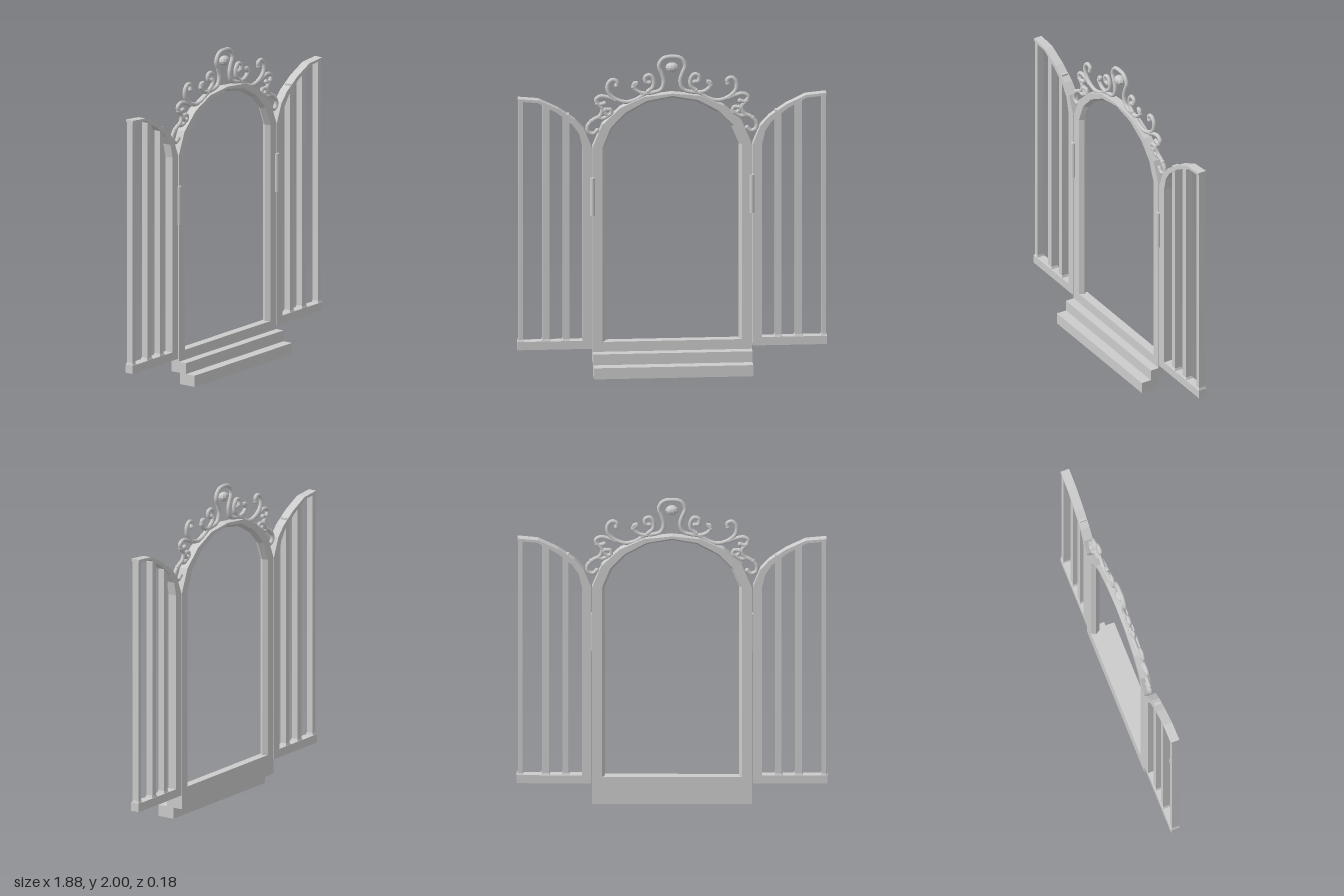
import * as THREE from 'three';

const FRONT = -0.03, BACK = -0.085, MID = (FRONT + BACK) / 2;
const flat = new THREE.MeshStandardMaterial({ color: 0xcccccc, flatShading: true });
const smooth = new THREE.MeshStandardMaterial({ color: 0xcccccc });

function add(parent, name, geometry, material = flat) {
  const mesh = new THREE.Mesh(geometry, material);
  mesh.name = name;
  parent.add(mesh);
  return mesh;
}

// Box given by its limits on each axis
function box(parent, name, x0, x1, y0, y1, z0, z1) {
  const mesh = add(parent, name, new THREE.BoxGeometry(Math.abs(x1 - x0), y1 - y0, z1 - z0));
  mesh.position.set((x0 + x1) / 2, (y0 + y1) / 2, (z0 + z1) / 2);
  return mesh;
}

// Bent frame bar: each station is [outerX, outerY, innerX, innerY];
// the inner side rises to a ridge halfway through the depth
function frameBar(stations, ridge, flip) {
  const pos = [], index = [], n = 5;
  for (const [ox, oy, ix, iy] of stations) {
    const k = ridge / Math.hypot(ix - ox, iy - oy);
    pos.push(ox, oy, FRONT, ix, iy, FRONT,
      ix + (ix - ox) * k, iy + (iy - oy) * k, MID,
      ix, iy, BACK, ox, oy, BACK);
  }
  const tri = (a, b, c) => flip ? index.push(a, c, b) : index.push(a, b, c);
  const last = (stations.length - 1) * n;
  for (let i = 0; i < last; i += n) {
    for (let j = 0; j < n; j++) {
      const k = (j + 1) % n;
      tri(i + j, i + k, i + n + k);
      tri(i + j, i + n + k, i + n + j);
    }
  }
  for (let j = 1; j < n - 1; j++) {
    tri(0, j + 1, j);
    tri(last, last + j, last + j + 1);
  }
  const g = new THREE.BufferGeometry();
  g.setAttribute('position', new THREE.Float32BufferAttribute(pos, 3));
  g.setIndex(index);
  const out = g.toNonIndexed();
  out.computeVertexNormals();
  return out;
}

// Wrought scroll with rounded ends
function scroll(parent, points, radius = 0.0125) {
  const pts = points.map(([x, y]) => new THREE.Vector3(x, y, -0.055));
  const curve = new THREE.CatmullRomCurve3(pts, false, 'centripetal');
  add(parent, 'scroll', new THREE.TubeGeometry(curve, points.length * 5, radius, 8), smooth);
  for (const p of [pts[0], pts[pts.length - 1]]) {
    add(parent, 'scrollEnd', new THREE.SphereGeometry(radius * 1.15, 8, 6), smooth).position.copy(p);
  }
}

export function createModel() {
  const root = new THREE.Group();
  root.name = 'archedGate';

  // Steps and sill
  box(root, 'lowerStep', -0.483, 0.483, 0, 0.07, -0.022, 0.09);
  box(root, 'upperStep', -0.483, 0.483, 0.07, 0.138, BACK, 0.025);
  box(root, 'sill', -0.483, 0.483, 0.138, 0.2, BACK, FRONT);

  // Arched doorway frame
  const half = [
    [-0.483, 0.15, -0.423, 0.15], [-0.483, 1.43, -0.423, 1.43],
    [-0.425, 1.57, -0.375, 1.55], [-0.315, 1.675, -0.285, 1.645],
    [-0.17, 1.742, -0.155, 1.717],
  ];
  const mirrored = half.map(([a, b, c, d]) => [-a, b, -c, d]).reverse();
  add(root, 'doorFrame', frameBar([...half, [0, 1.76, 0, 1.745], ...mirrored], 0.018, false));

  // Open gate leaves and hinges
  const leafLine = [
    [0.489, 0.17, 0.545, 0.17], [0.489, 1.43, 0.545, 1.43],
    [0.535, 1.545, 0.565, 1.515], [0.59, 1.605, 0.605, 1.575],
    [0.69, 1.675, 0.7, 1.652], [0.81, 1.733, 0.815, 1.717],
    [0.935, 1.745, 0.935, 1.728],
  ];
  for (const s of [1, -1]) {
    const leaf = new THREE.Group();
    leaf.name = s > 0 ? 'leftLeaf' : 'rightLeaf';
    root.add(leaf);
    const line = leafLine.map(([a, b, c, d]) => [s * a, b, s * c, d]);
    add(leaf, 'leafFrame', frameBar(line, 0, s < 0));
    box(leaf, 'bottomRail', s * 0.489, s * 0.94, 0.158, 0.21, BACK, FRONT);
    for (const [x0, x1, top] of [[0.625, 0.662, 1.64], [0.745, 0.787, 1.695], [0.905, 0.933, 1.735]]) {
      box(leaf, 'bar', s * x0, s * x1, 0.2, top, MID - 0.021, MID + 0.021);
      const foot = add(leaf, 'barFoot', new THREE.CylinderGeometry(0.707, 0.95, 1, 4).rotateY(Math.PI / 4));
      foot.scale.set(x1 - x0, 0.016, 0.04);
      foot.position.set(s * (x0 + x1) / 2, 0.217, MID);
    }
    const hinge = add(root, 'hinge', new THREE.CylinderGeometry(0.015, 0.015, 0.24, 12), smooth);
    hinge.position.set(s * 0.484, 1.12, -0.028);
  }

  // Scrollwork along the arch
  const crest = new THREE.Group();
  crest.name = 'crest';
  root.add(crest);
  scroll(crest, [
    [-0.235, 1.80], [-0.21, 1.825], [-0.232, 1.82], [-0.228, 1.79], [-0.19, 1.762], [-0.12, 1.762],
    [-0.068, 1.78], [-0.05, 1.83], [-0.062, 1.88], [-0.08, 1.93], [-0.055, 1.975], [0, 1.987],
    [0.055, 1.975], [0.08, 1.93], [0.062, 1.88], [0.05, 1.83], [0.068, 1.78], [0.12, 1.762],
    [0.19, 1.762], [0.228, 1.79], [0.232, 1.82], [0.21, 1.825], [0.235, 1.80],
  ]);
  const scrolls = [
    [[0.137, 1.825], [0.16, 1.83], [0.163, 1.862], [0.135, 1.873], [0.113, 1.845], [0.115, 1.8], [0.145, 1.77]],
    [[0.338, 1.81], [0.334, 1.835], [0.362, 1.848], [0.39, 1.82], [0.387, 1.77], [0.345, 1.727], [0.28, 1.706], [0.22, 1.72], [0.17, 1.752]],
    [[0.412, 1.70], [0.445, 1.695], [0.462, 1.725], [0.435, 1.745], [0.39, 1.738], [0.345, 1.72]],
    [[0.455, 1.70], [0.425, 1.665], [0.435, 1.625], [0.48, 1.595], [0.512, 1.56], [0.51, 1.525], [0.48, 1.51], [0.455, 1.53]],
    [[0.405, 1.66], [0.375, 1.66], [0.37, 1.632], [0.395, 1.628], [0.415, 1.655]],
    [[0.49, 1.59], [0.455, 1.61], [0.42, 1.605], [0.375, 1.63]],
  ];
  for (const s of [1, -1]) {
    for (const points of scrolls) scroll(crest, points.map(([x, y]) => [s * x, y]));
  }

  // Faceted bead under the crown loop
  const bead = add(crest, 'crownBead', new THREE.SphereGeometry(1, 10, 6));
  bead.scale.set(0.04, 0.03, 0.03);
  bead.position.set(0, 1.92, -0.055);

  return root;
}
